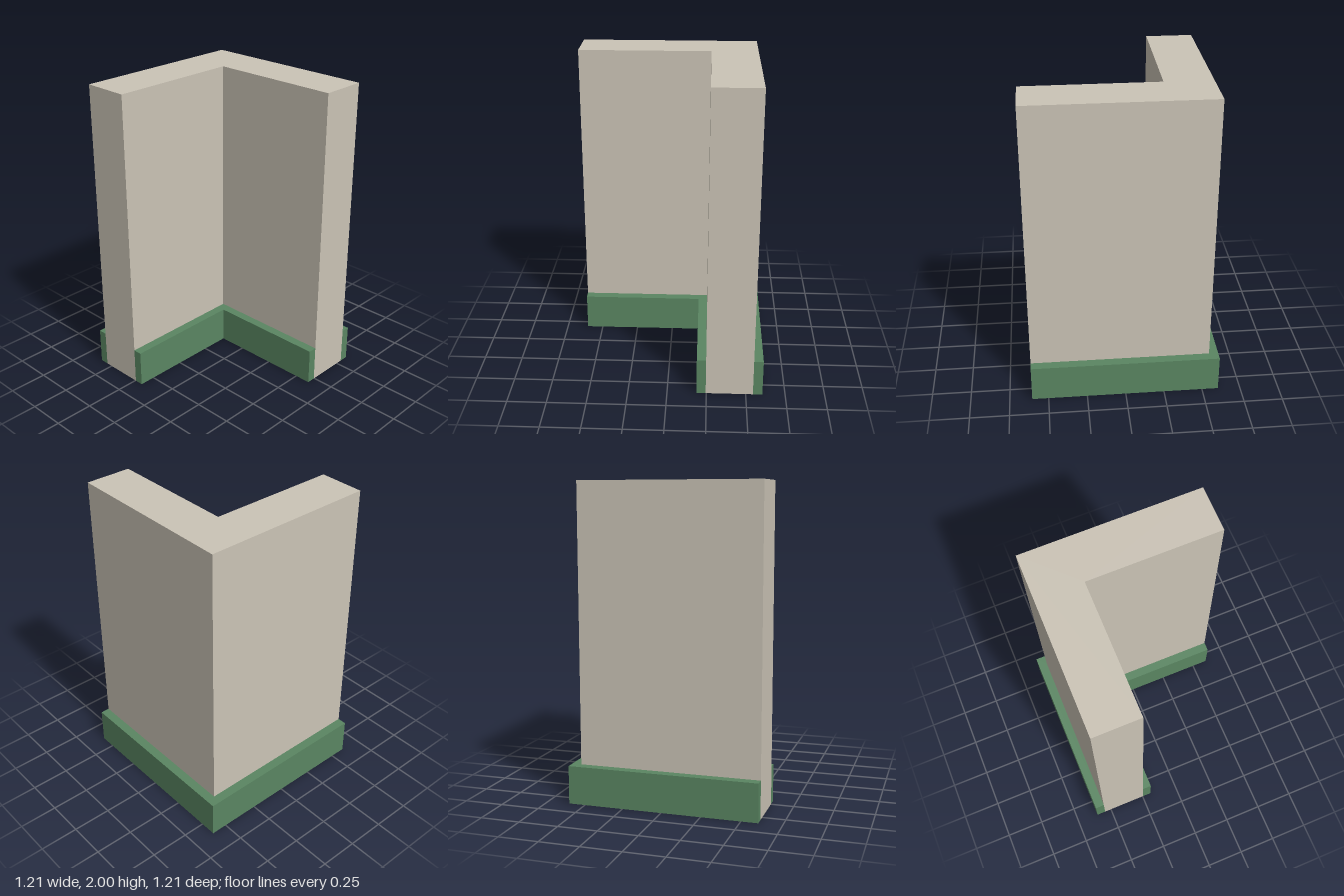
import * as THREE from 'three';

const END = 0.606; // open end of both arms

// L-shaped prism along both arms, between two offsets from the corner
function cornerPrism(name, outer, inner, height, material) {
  const plan = [
    [outer, END], [outer, outer], [END, outer],
    [END, inner], [inner, inner], [inner, END],
  ];
  const shape = new THREE.Shape(plan.map(([x, z]) => new THREE.Vector2(x, -z)));
  const geometry = new THREE.ExtrudeGeometry(shape, { depth: height, bevelEnabled: false });
  geometry.rotateX(-Math.PI / 2);
  const mesh = new THREE.Mesh(geometry, material);
  mesh.name = name;
  return mesh;
}

export function createModel() {
  const plaster = new THREE.MeshStandardMaterial({ color: 0xcbc4b6 });
  plaster.name = 'plaster';
  const greenTrim = new THREE.MeshStandardMaterial({ color: 0x5a8662 });
  greenTrim.name = 'green trim';

  const model = new THREE.Group();
  model.name = 'wallCorner';
  model.add(
    cornerPrism('wall', -0.546, -0.246, 2, plaster),
    // skirting on both faces of the wall
    cornerPrism('outerSkirting', -0.606, -0.546, 0.242, greenTrim),
    cornerPrism('innerSkirting', -0.246, -0.187, 0.242, greenTrim),
  );
  return model;
}
